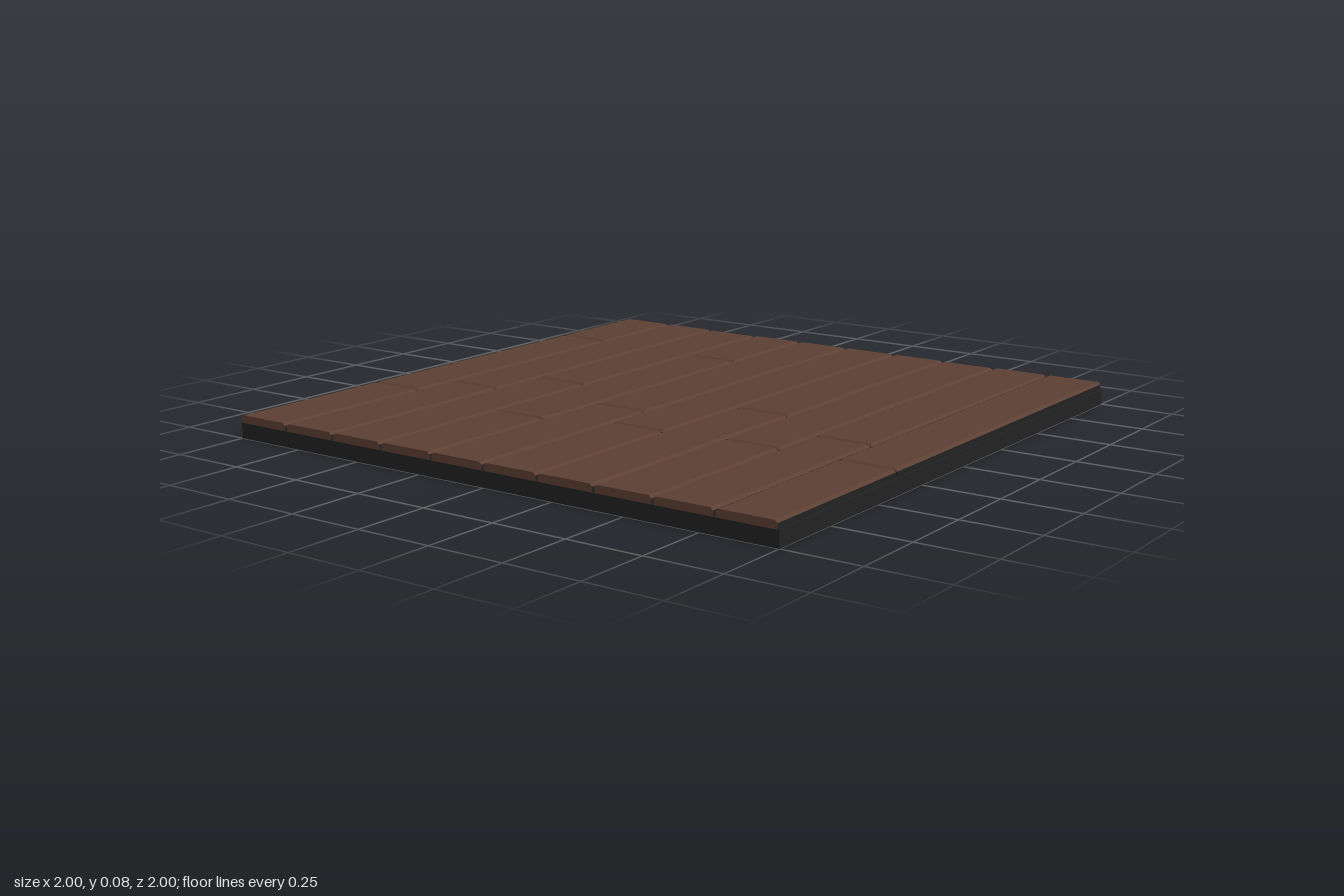
import * as THREE from 'three';

const wood = new THREE.MeshStandardMaterial({ color: 0x5c4033 });
wood.name = 'brownWood';
const dark = new THREE.MeshStandardMaterial({ color: 0x222222 });
dark.name = 'darkBase';

const BASE_TOP = 0.05, SHOULDER = 0.067, TOP = 0.075, BEVEL = 0.008, GAP = 0.004;

// Plank with bevelled upper edges; a cut end stays upright and shows bare wood.
function plankGeometry(x0, x1, z0, z1, cutLeft, cutRight) {
  const ring = (y, inset) => {
    const a = x0 + (cutRight ? 0 : inset), b = x1 - (cutLeft ? 0 : inset);
    const c = z0 + inset, d = z1 - inset;
    return [[a, y, d], [b, y, d], [b, y, c], [a, y, c]];
  };
  const rings = [ring(BASE_TOP, 0), ring(SHOULDER, 0), ring(TOP, BEVEL)];
  const geometry = new THREE.BufferGeometry();
  const positions = [];
  const quad = (a, b, c, d, material) => {
    geometry.addGroup(positions.length / 3, 6, material);
    positions.push(...a, ...b, ...c, ...a, ...c, ...d);
  };
  for (let level = 0; level < 2; level++) {
    for (let i = 0; i < 4; i++) {
      const j = (i + 1) % 4;
      const bare = level === 1 || (i === 1 && cutLeft) || (i === 3 && cutRight);
      quad(rings[level][i], rings[level][j], rings[level + 1][j], rings[level + 1][i], bare ? 0 : 1);
    }
  }
  quad(...rings[2], 0);
  geometry.setAttribute('position', new THREE.Float32BufferAttribute(positions, 3));
  geometry.computeVertexNormals();
  return geometry;
}

export function createModel() {
  const floor = new THREE.Group();
  floor.name = 'plankFloor';

  // Supporting slab
  const base = new THREE.Mesh(new THREE.BoxGeometry(2, BASE_TOP, 2), dark);
  base.name = 'baseSlab';
  base.position.y = BASE_TOP / 2;
  floor.add(base);

  // Joint positions along x for each row, from back to front
  const joints = [
    [-0.405, 0.595], [-0.243], [-0.03], [-0.485, 0.572], [-0.227],
    [-0.4], [-0.013], [-0.372], [-0.183], [-0.385],
  ];
  const finishedRows = [2, 7]; // rows whose last plank ends in a bevel

  joints.forEach((row, r) => {
    const z0 = -1 + r * 0.2 + 0.002, z1 = -1 + (r + 1) * 0.2 - 0.007;
    const stops = [-1, ...row, 1];
    for (let i = 0; i < stops.length - 1; i++) {
      const first = i === 0, last = i === stops.length - 2;
      const x0 = stops[i] + (first ? 0 : GAP);
      const x1 = stops[i + 1] - (last ? 0 : GAP);
      const cutLeft = last && !finishedRows.includes(r);
      const plank = new THREE.Mesh(plankGeometry(x0, x1, z0, z1, cutLeft, first), [wood, dark]);
      plank.name = `plankRow${r + 1}Board${i + 1}`;
      floor.add(plank);
    }
  });

  return floor;
}
